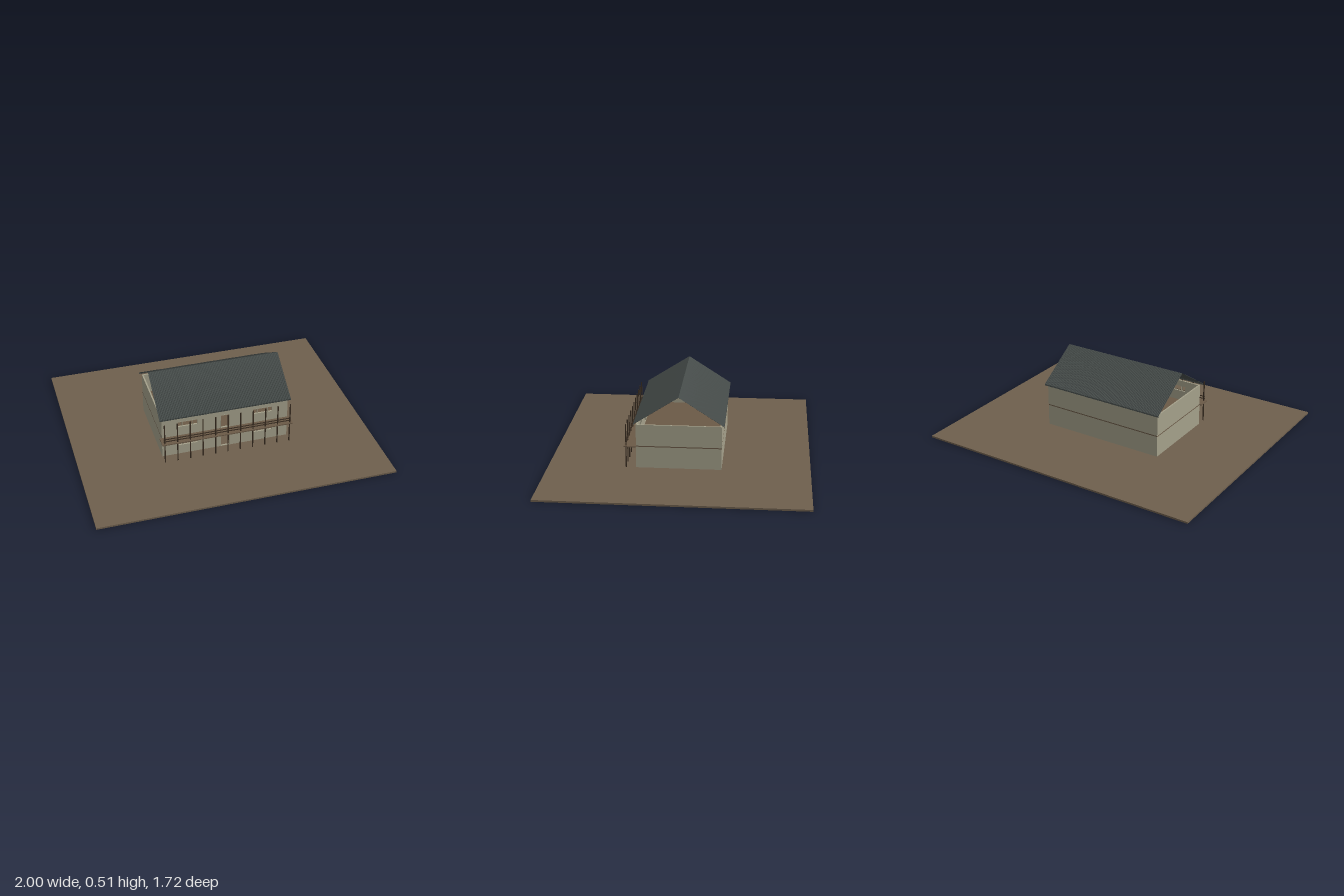
import * as THREE from 'three';

const mat = (name, color, side = THREE.FrontSide) => {
  const m = new THREE.MeshStandardMaterial({ color, side });
  m.name = name;
  return m;
};

export function createModel() {
  const house = new THREE.Group();
  house.name = 'house';
  const earth = mat('earth brown', 0x6e5f4d);
  const plaster = mat('warm plaster', 0xa5a18b);
  const timber = mat('floor timber', 0x6b5a47);
  const darkWood = mat('dark wood', 0x3a2e22);
  const slate = mat('slate roof', 0x454b49, THREE.DoubleSide);

  const add = (name, geometry, material, parent = house) => {
    const m = new THREE.Mesh(geometry, material);
    m.name = name;
    parent.add(m);
    return m;
  };
  // box given by its limits on each axis
  const box = (name, x0, x1, y0, y1, z0, z1, material, parent) =>
    add(name, new THREE.BoxGeometry(x1 - x0, y1 - y0, z1 - z0), material, parent)
      .position.set((x0 + x1) / 2, (y0 + y1) / 2, (z0 + z1) / 2);

  const W = 0.437, D = 0.28, T = 0.01, G = 0.012, TOP = 0.31;
  const FLOOR0 = 0.157, FLOOR1 = 0.164;

  // ground and upper floor
  box('ground', -1, 1, 0, G, -0.86, 0.86, earth);
  box('upperFloor', -W, W, FLOOR0, FLOOR1, -D, D, timber);

  const windowX = 0.26, windowHalf = 0.07, doorHalf = 0.032;

  const rectHole = (x0, x1, y0, y1) => new THREE.Path([
    new THREE.Vector2(x0, y0), new THREE.Vector2(x0, y1),
    new THREE.Vector2(x1, y1), new THREE.Vector2(x1, y0),
  ]);

  // thin frame around an opening, with optional upright bars
  function frame(name, x0, x1, y0, y1, bars, parent) {
    const g = new THREE.Group();
    g.name = name;
    parent.add(g);
    const t = 0.003, z0 = D - T, z1 = D + 0.001;
    box('sill', x0, x1, y0, y0 + t, z0, z1, plaster, g);
    box('lintel', x0, x1, y1 - t, y1, z0, z1, plaster, g);
    for (const x of [x0, x1 - t, ...bars]) box('upright', x, x + t, y0, y1, z0, z1, plaster, g);
  }

  // one storey: three plain walls and a front wall with openings
  function storey(name, y0, y1, winY, doorTop) {
    const g = new THREE.Group();
    g.name = name;
    house.add(g);
    box('backWall', -W, W, y0, y1, -D, -D + T, plaster, g);
    for (const s of [-1, 1]) {
      const a = s * W, b = s * (W - T);
      box('sideWall', Math.min(a, b), Math.max(a, b), y0, y1, -D + T, D - T, plaster, g);
    }
    const sill = y0 + 0.001;
    const wall = new THREE.Shape([
      new THREE.Vector2(-W, y0), new THREE.Vector2(W, y0),
      new THREE.Vector2(W, y1), new THREE.Vector2(-W, y1),
    ]);
    wall.holes.push(rectHole(-doorHalf, doorHalf, sill, doorTop));
    frame('doorFrame', -doorHalf, doorHalf, sill, doorTop, [], g);
    for (const s of [-1, 1]) {
      const c = s * windowX;
      wall.holes.push(rectHole(c - windowHalf, c + windowHalf, winY, winY + 0.042));
      frame('windowFrame', c - windowHalf, c + windowHalf, winY, winY + 0.042,
        [c - 0.038, c + 0.035], g);
    }
    add('frontWall', new THREE.ExtrudeGeometry(wall, { depth: T, bevelEnabled: false }), plaster, g)
      .position.z = D - T;
  }
  storey('lowerStorey', G, FLOOR0, 0.079, 0.112);
  storey('upperStorey', FLOOR1, TOP, 0.23, 0.268);

  // balcony deck, posts and rails
  const balcony = new THREE.Group();
  balcony.name = 'balcony';
  house.add(balcony);
  box('deck', -0.452, 0.452, FLOOR0, FLOOR1, D, 0.36, timber, balcony);
  for (let i = 0; i < 11; i++) {
    const x = -0.433 + i * 0.0866;
    box('post', x - 0.0035, x + 0.0035, G, TOP, 0.3425, 0.3495, darkWood, balcony);
  }
  for (const y of [0.18, 0.197])
    box('rail', -0.44, 0.44, y - 0.0025, y + 0.0025, 0.3435, 0.3485, darkWood, balcony);

  // corrugated roof: a gable section with turned-down eaves, rippled along x
  const section = [[-0.295, 0.308], [-0.295, 0.318], [0, 0.508], [0.295, 0.318], [0.295, 0.308]];
  const ripples = 84, steps = ripples * 4, roofHalf = 0.453;
  const pos = [], index = [];
  for (let i = 0; i <= steps; i++) {
    const x = -roofHalf + (2 * roofHalf * i) / steps;
    const lift = 0.0015 * Math.sin((i * Math.PI) / 2);
    for (const [z, y] of section) pos.push(x, y + lift, z + Math.sign(z) * lift);
  }
  const n = section.length;
  for (let i = 0; i < steps; i++)
    for (let j = 0; j < n - 1; j++) {
      const a = i * n + j, b = a + n;
      index.push(a, a + 1, b, b, a + 1, b + 1);
    }
  const sheet = new THREE.BufferGeometry();
  sheet.setAttribute('position', new THREE.Float32BufferAttribute(pos, 3));
  sheet.setIndex(index);
  const roofGeometry = sheet.toNonIndexed();
  roofGeometry.computeVertexNormals();
  add('roof', roofGeometry, slate);

  return house;
}
